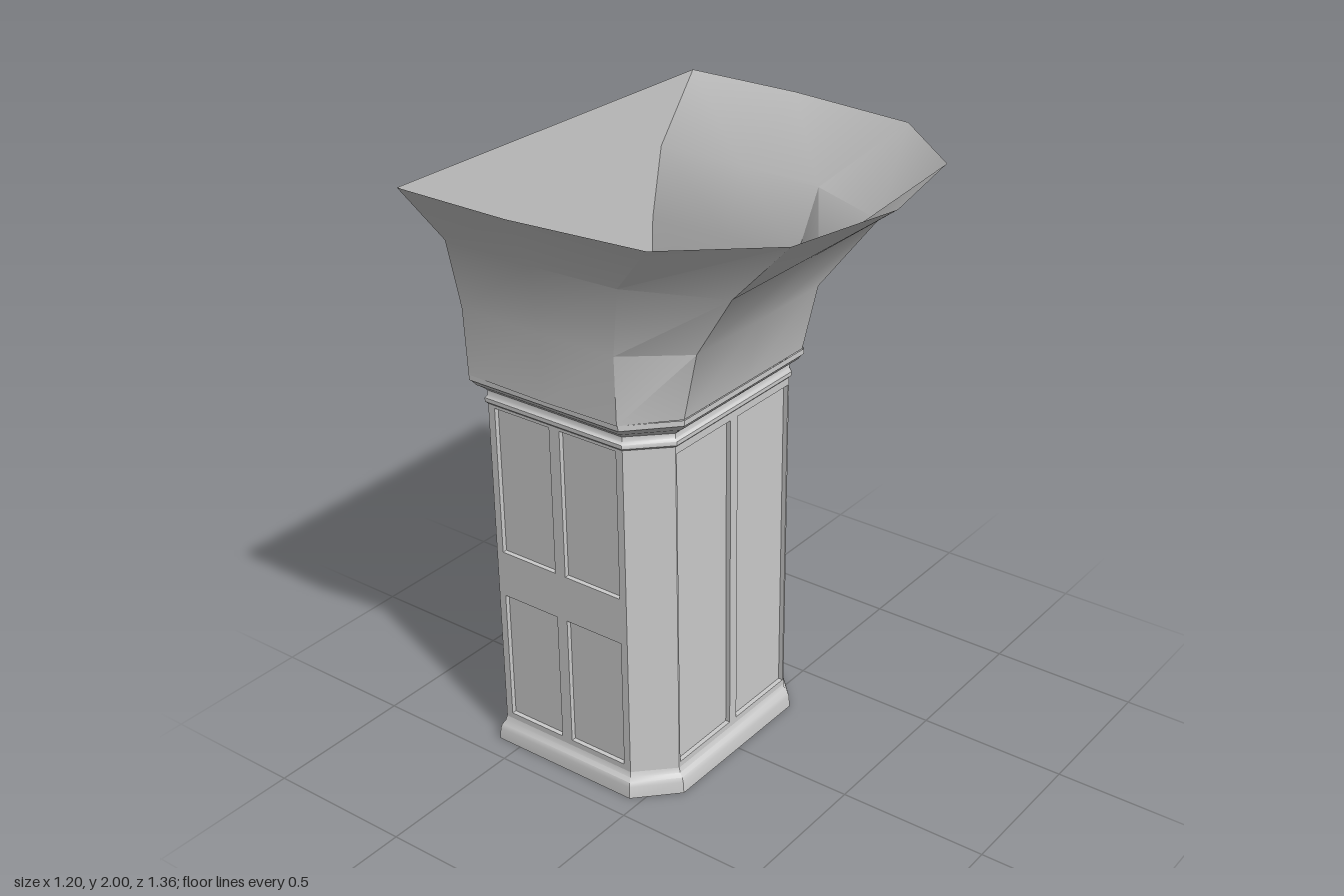
import * as THREE from 'three';
import { toCreasedNormals } from 'three/addons/utils/BufferGeometryUtils.js';

const material = new THREE.MeshStandardMaterial({ color: 0xcccccc, side: THREE.DoubleSide });

// Skin a stack of closed rings of [x, y, z] points.
function loft(rings, crease = 0.55) {
  const n = rings[0].length;
  const index = [];
  for (let i = 0; i < rings.length - 1; i++) {
    for (let j = 0; j < n; j++) {
      const k = (j + 1) % n;
      const a = i * n + j, b = i * n + k, c = b + n, d = a + n;
      index.push(a, b, c, a, c, d);
    }
  }
  const geometry = new THREE.BufferGeometry();
  geometry.setAttribute('position', new THREE.Float32BufferAttribute(rings.flat(2), 3));
  geometry.setIndex(index);
  return toCreasedNormals(geometry, crease);
}

function part(name, geometry) {
  const mesh = new THREE.Mesh(geometry, material);
  mesh.name = name;
  return mesh;
}

// Plan of the pillar, pushed out by d: flat back, chamfered corners at +x.
function plan(d) {
  const half = [[-0.57 - 0.7 * d, 0.4 + d], [-0.05 + 0.5 * d, 0.4 + d], [0.06 + d, 0.29 + 0.3 * d]];
  return [...half, ...half.map(([x, z]) => [x, -z]).reverse()];
}

// Moulding running round the plan; profile points are [offset, height].
function moulding(name, profile) {
  return part(name, loft(profile.map(([d, y]) => plan(d).map(([x, z]) => [x, y, z])), 0.7));
}

function rectangle([u0, v0, u1, v1]) {
  return [[u0, v0], [u1, v0], [u1, v1], [u0, v1]];
}

function toShape(points) {
  return new THREE.Shape(points.map(([u, v]) => new THREE.Vector2(u, v)));
}

// Flat wall from plan point p to q, with sunken panels given as [u0, v0, u1, v1].
function wall(name, p, q, y0, y1, panels) {
  const depth = 0.016;
  const group = new THREE.Group();
  group.name = name;
  const length = Math.hypot(q[0] - p[0], q[1] - p[1]);
  const face = toShape(rectangle([0, y0, length, y1]));
  for (const panel of panels) {
    const corners = rectangle(panel);
    face.holes.push(toShape(corners));
    const reveal = [0, -depth].map((z) => corners.map(([u, v]) => [u, v, z]));
    group.add(part('panelReveal', loft(reveal)));
    const sunken = part('panel', new THREE.ShapeGeometry(toShape(corners)));
    sunken.position.z = -depth;
    group.add(sunken);
  }
  group.add(part('wallFace', new THREE.ShapeGeometry(face)));
  group.position.set(p[0], 0, p[1]);
  group.rotation.y = Math.atan2(p[1] - q[1], q[0] - p[0]);
  return group;
}

export function createModel() {
  const model = new THREE.Group();
  model.name = 'flaredPillar';

  // Base skirting
  model.add(moulding('base', [[0.023, 0], [0.02, 0.04], [0.015, 0.055], [0.005, 0.068], [0, 0.085]]));

  // Panelled shaft
  const sidePanels = [];
  for (const [u0, u1] of [[0.025, 0.24], [0.28, 0.495]]) {
    sidePanels.push([u0, 0.105, u1, 0.56], [u0, 0.72, u1, 1.225]);
  }
  const endPanels = [[0.006, 0.105, 0.272, 1.21], [0.308, 0.105, 0.574, 1.21]];
  const walls = [
    ['frontWall', sidePanels], ['frontChamfer', []], ['endWall', endPanels],
    ['backChamfer', []], ['backWall', sidePanels], ['flatWall', []],
  ];
  const corners = plan(0);
  walls.forEach(([name, panels], i) => {
    model.add(wall(name, corners[i], corners[(i + 1) % 6], 0.085, 1.235, panels));
  });

  // Crown moulding
  model.add(moulding('crown', [
    [0, 1.235], [0.008, 1.243], [0.008, 1.256], [0.001, 1.264], [0, 1.28],
    [0.01, 1.29], [0.027, 1.302], [0.036, 1.315], [0.044, 1.322], [0.044, 1.34],
  ]));

  // Flared top: each level is [y, half plan from the flat side to the tip]
  const levels = [
    [1.34, [[-0.6, 0.445], [-0.3, 0.453], [-0.03, 0.447], [0.1, 0.3], [0.1, 0]]],
    [1.56, [[-0.6, 0.455], [-0.3, 0.46], [-0.03, 0.452], [0.15, 0.305], [0.155, 0]]],
    [1.79, [[-0.6, 0.505], [-0.28, 0.507], [0.02, 0.49], [0.315, 0.365], [0.32, 0]]],
    [2, [[-0.6, 0.677], [-0.2, 0.68], [0.24, 0.635], [0.52, 0.39], [0.6, 0]]],
  ];
  model.add(part('flare', loft(levels.map(([y, half]) => {
    const mirrored = half.slice(0, -1).map(([x, z]) => [x, -z]).reverse();
    return [...half, ...mirrored].map(([x, z]) => [x, y, z]);
  }))));

  return model;
}
